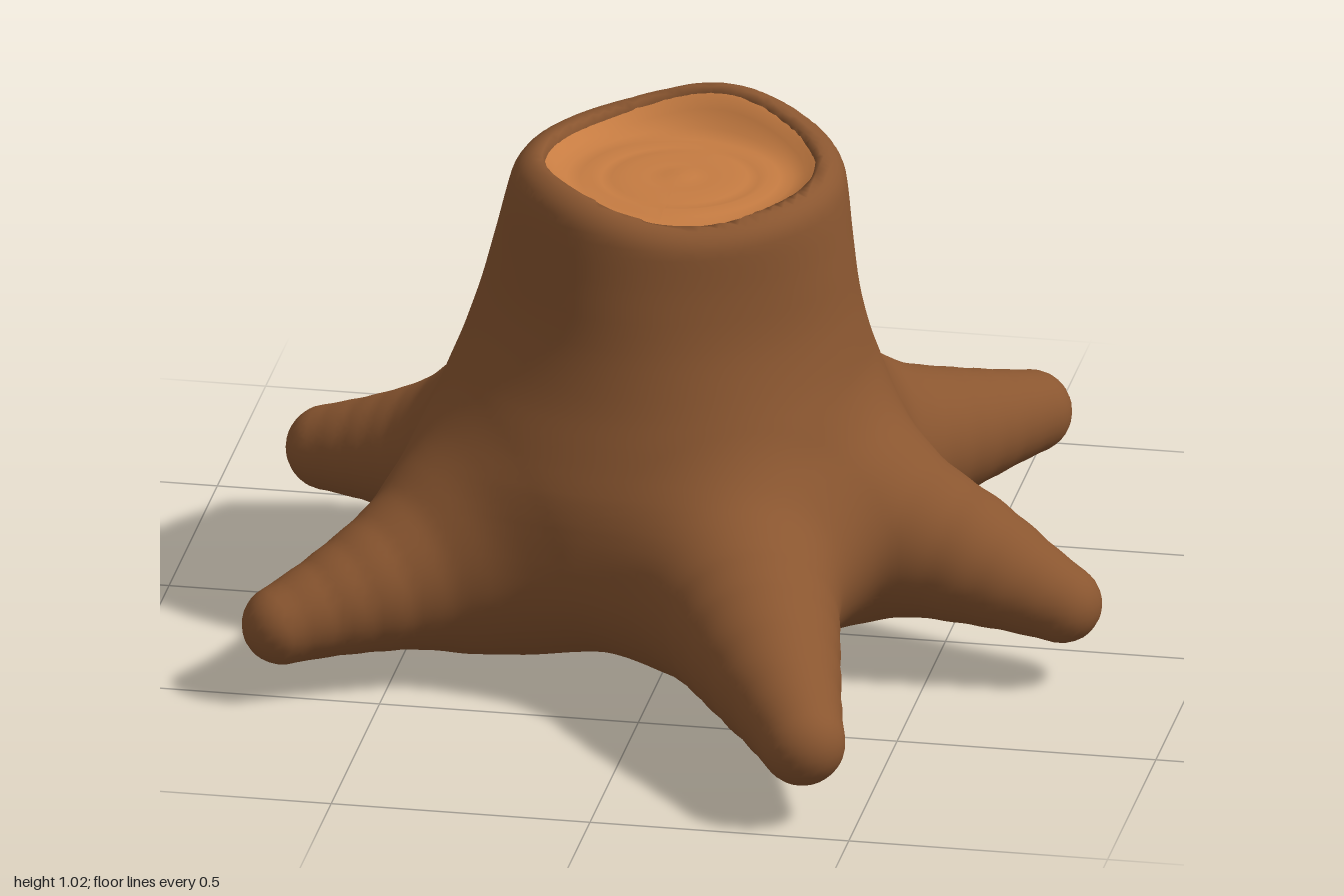
import * as THREE from 'three';

const CX = -0.005, CZ = 0.042; // centre of the cut top
const RIM = 0.968; // mean rim height

// Trunk radius at each height, smoothed
const PROFILE = new THREE.SplineCurve([[0.34, -0.2], [0.41, 0], [0.447, 0.15], [0.46, 0.28], [0.455, 0.4],
  [0.425, 0.5], [0.386, 0.6], [0.355, 0.7], [0.338, 0.8], [0.326, 0.9], [0.308, 1], [0.28, 1.2]]
  .map(([r, y]) => new THREE.Vector2(r, y))).getPoints(44);

// Each root: [x, y, z, radius] from the trunk to the tip, smoothed into short tapered segments
const ROOTS = [
  [[-0.12, 0.25, -0.36, 0.215], [-0.18, 0.215, -0.62, 0.142], [-0.26, 0.1, -0.936, 0.064]],
  [[0.25, 0.26, -0.26, 0.17], [0.42, 0.25, -0.42, 0.12], [0.557, 0.238, -0.572, 0.08]],
  [[0.3, 0.28, 0.07, 0.18], [0.55, 0.232, 0.13, 0.128], [0.755, 0.157, 0.157, 0.076]],
  [[0.16, 0.23, 0.36, 0.19], [0.265, 0.205, 0.62, 0.144], [0.395, 0.155, 0.918, 0.082]],
  [[-0.33, 0.23, 0.2, 0.2], [-0.52, 0.185, 0.365, 0.126], [-0.69, 0.14, 0.49, 0.077]],
  [[-0.35, 0.24, -0.19, 0.19], [-0.56, 0.2, -0.262, 0.123], [-0.752, 0.165, -0.325, 0.082]],
].map((root) => {
  const path = new THREE.CatmullRomCurve3(root.map(([x, y, z]) => new THREE.Vector3(x, y, z))).getPoints(6);
  const radii = new THREE.SplineCurve(root.map((p, i) => new THREE.Vector2(i, p[3]))).getPoints(6);
  return path.map((p, i) => [p.x, p.y, p.z, radii[i].y]);
});

const smin = (a, b, k) => {
  const h = Math.max(k - Math.abs(a - b), 0) / k;
  return Math.min(a, b) - h * h * k / 4;
};
const smax = (a, b, k) => -smin(-a, -b, k);

// Uneven height of the rim around the trunk: high at the back, low at the front
function rim(x, z) {
  const t = Math.atan2(x, z);
  const bump = (centre, height) => height * Math.exp(5 * (Math.cos(t - centre) - 1));
  return RIM + bump(3, 0.049) + bump(-0.85, 0.02) + bump(0.25, -0.025);
}

function radiusAt(y) {
  let i = 0;
  while (i < PROFILE.length - 2 && y > PROFILE[i + 1].y) i++;
  const a = PROFILE[i], b = PROFILE[i + 1];
  return a.x + (b.x - a.x) * (y - a.y) / (b.y - a.y);
}

// Distance to a round cone: the foot slides back along the axis to follow the slope of the side
function taper(x, y, z, a, b) {
  const dx = b[0] - a[0], dy = b[1] - a[1], dz = b[2] - a[2], dr = a[3] - b[3];
  const px = x - a[0], py = y - a[1], pz = z - a[2];
  const len2 = dx * dx + dy * dy + dz * dz, dot = px * dx + py * dy + pz * dz;
  const side = Math.sqrt(Math.max(0, px * px + py * py + pz * pz - dot * dot / len2));
  let t = dot / len2 - side * dr / Math.sqrt(len2 * (len2 - dr * dr));
  t = Math.min(1, Math.max(0, t));
  const ex = px - dx * t, ey = py - dy * t, ez = pz - dz * t;
  return Math.sqrt(ex * ex + ey * ey + ez * ez) - a[3] + dr * t;
}

// Signed distance of the bark: trunk blended into roots, hollowed at the top
function bark(x, y, z) {
  const low = Math.min(1, Math.max(0, 1 - y));
  const px = x - CX + 0.068 * low, pz = z - 0.034 + 0.025 * low;
  let d = 0.9 * (Math.sqrt(px * px + pz * pz) - radiusAt(y));
  d += 0.006 * Math.sin(9 * x + 2) * Math.sin(11 * y) * Math.sin(10 * z + 1);
  d = smax(d, y - rim(px, pz), 0.055);
  d = smax(d, 0.006 + 0.2 * ((x + 0.08) ** 2 + (z + 0.17) ** 2) - y, 0.16);
  for (const root of ROOTS) {
    let r = Infinity;
    for (let i = 1; i < root.length; i++) r = smin(r, taper(x, y, z, root[i - 1], root[i]), 0.01);
    d = smin(d, r, 0.13);
  }
  const bore = Math.max(Math.hypot(x - CX, z - CZ) - 0.255, 0.88 - y);
  return smax(d, -bore, 0.02);
}

function gradient(x, y, z) {
  const e = 0.01;
  return new THREE.Vector3(bark(x + e, y, z) - bark(x - e, y, z), bark(x, y + e, z) - bark(x, y - e, z),
    bark(x, y, z + e) - bark(x, y, z - e)).normalize();
}

// Smooth skin over the bark: one vertex per crossed cell, one quad per crossed edge
function barkSkin(min, [nx, ny, nz], step) {
  const stride = [1, nx, nx * ny];
  const values = new Float32Array(nx * ny * nz);
  const at = (i, j, k) => i + nx * (j + ny * k);
  for (let k = 0; k < nz; k++) for (let j = 0; j < ny; j++) for (let i = 0; i < nx; i++) {
    values[at(i, j, k)] = bark(min[0] + i * step, min[1] + j * step, min[2] + k * step);
  }
  const cellVertex = new Int32Array(values.length).fill(-1);
  const positions = [], normals = [], index = [];
  for (let k = 0; k < nz - 1; k++) for (let j = 0; j < ny - 1; j++) for (let i = 0; i < nx - 1; i++) {
    const base = at(i, j, k), sum = [0, 0, 0];
    let n = 0;
    for (let c = 0; c < 8; c++) for (let a = 0; a < 3; a++) {
      if (c >> a & 1) continue;
      const corner = [c & 1, c >> 1 & 1, c >> 2 & 1];
      const p = base + corner[0] + corner[1] * stride[1] + corner[2] * stride[2];
      const v0 = values[p], v1 = values[p + stride[a]];
      if ((v0 < 0) === (v1 < 0)) continue;
      corner[a] += v0 / (v0 - v1);
      for (let m = 0; m < 3; m++) sum[m] += corner[m];
      n++;
    }
    if (!n) continue;
    const p = [i, j, k].map((g, m) => min[m] + (g + sum[m] / n) * step);
    const g = gradient(...p), d = bark(...p);
    cellVertex[base] = positions.length / 3;
    positions.push(p[0] - g.x * d, p[1] - g.y * d, p[2] - g.z * d);
    normals.push(g.x, g.y, g.z);
  }
  for (let k = 1; k < nz - 1; k++) for (let j = 1; j < ny - 1; j++) for (let i = 1; i < nx - 1; i++) {
    const p = at(i, j, k);
    for (let a = 0; a < 3; a++) {
      const inside = values[p] < 0;
      if (inside === (values[p + stride[a]] < 0)) continue;
      const b = stride[(a + 1) % 3], c = stride[(a + 2) % 3];
      const q = [p, p - b, p - b - c, p - c].map((cell) => cellVertex[cell]);
      if (!inside) q.reverse();
      index.push(q[0], q[1], q[2], q[0], q[2], q[3]);
    }
  }
  const geometry = new THREE.BufferGeometry();
  geometry.setAttribute('position', new THREE.Float32BufferAttribute(positions, 3));
  geometry.setAttribute('normal', new THREE.Float32BufferAttribute(normals, 3));
  geometry.setIndex(index);
  return geometry;
}

// Cut wood: a shallow dish with growth rings, its edge following the rim
function cutWood() {
  const points = [[0.268, 0.956], [0.25, 0.947], [0.238, 0.936], [0.215, 0.928], [0.19, 0.927], [0.168, 0.933],
    [0.15, 0.927], [0.13, 0.928], [0.1, 0.933], [0.06, 0.929], [0.03, 0.933], [0, 0.934]];
  const geometry = new THREE.LatheGeometry(points.map(([r, y]) => new THREE.Vector2(r, y)), 72);
  const p = geometry.attributes.position;
  for (let i = 0; i < p.count; i++) {
    const x = p.getX(i), z = p.getZ(i);
    const w = Math.min(1, Math.max(0, (Math.hypot(x, z) - 0.2) / 0.05));
    p.setY(i, p.getY(i) + w * (rim(x, z) - RIM));
  }
  geometry.computeVertexNormals();
  geometry.translate(CX, 0, CZ);
  return geometry;
}

export function createModel() {
  const brown = new THREE.MeshStandardMaterial({ color: 0x8a5630 });
  brown.name = 'bark brown';
  const orange = new THREE.MeshStandardMaterial({ color: 0xc67c42, side: THREE.DoubleSide });
  orange.name = 'cut wood orange';

  const group = new THREE.Group();
  group.name = 'treeStump';
  const trunk = new THREE.Mesh(barkSkin([-0.9, -0.06, -1.06], [100, 62, 118], 0.018), brown);
  trunk.name = 'trunkAndRoots';
  const top = new THREE.Mesh(cutWood(), orange);
  top.name = 'cutTop';
  group.add(trunk, top);
  return group;
}
